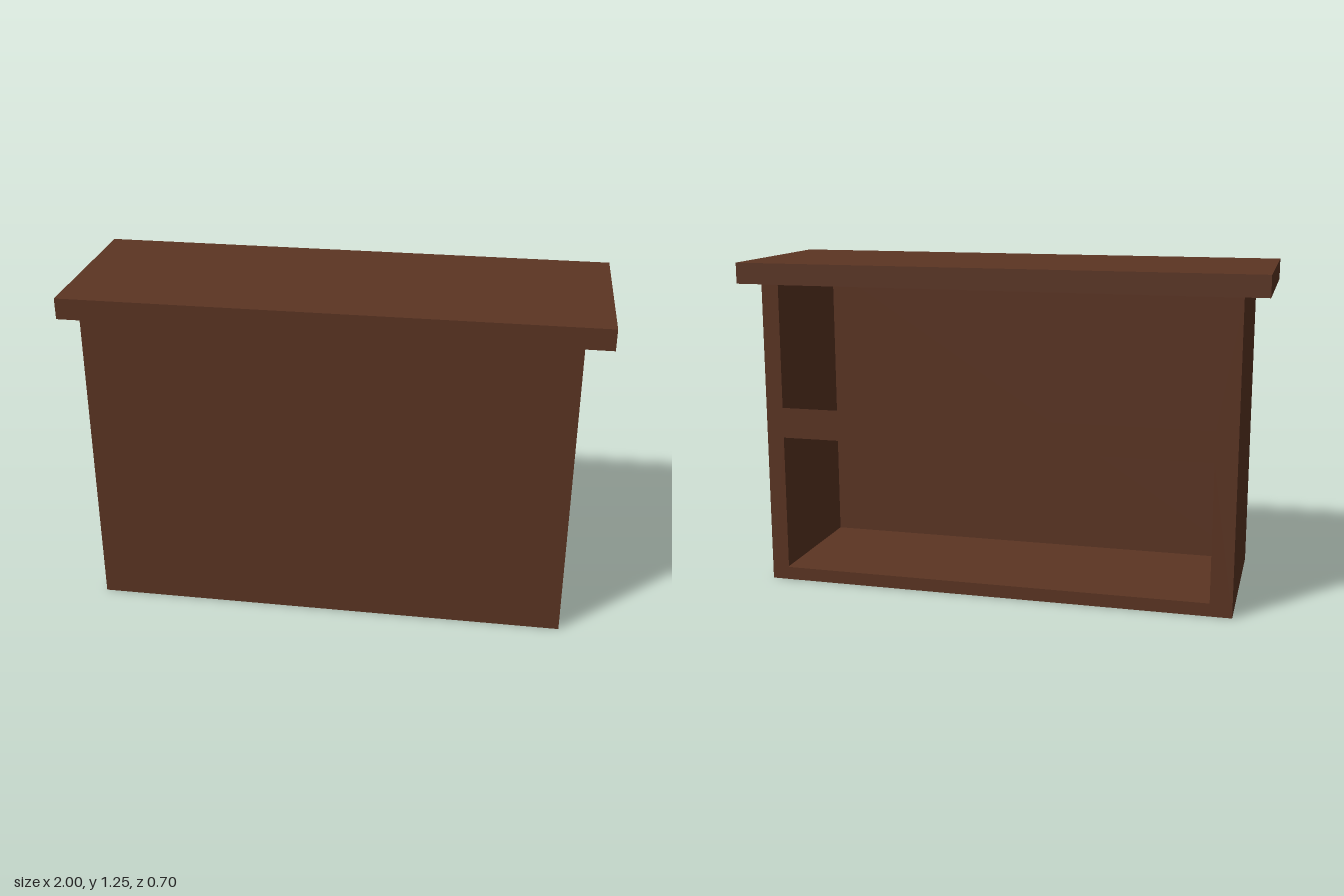
import * as THREE from 'three';

export function createModel() {
  const group = new THREE.Group();
  const wood = new THREE.MeshStandardMaterial({ color: 0x5c3523, side: THREE.DoubleSide });
  wood.name = 'darkWood';

  const right = -0.911, left = 0.897;        // sides of the body
  const inRight = -0.828, inLeft = 0.83;     // sides of the openings
  const top = 1.17, floor = 0.05;
  const railLow = 0.577, railHigh = 0.695;   // rail between the openings
  const back = -0.35, front = 0.35;
  const width = left - right, depth = front - back, middle = (left + right) / 2;

  const add = (name, geometry, x, y, z) => {
    const mesh = new THREE.Mesh(geometry, wood);
    mesh.name = name;
    mesh.position.set(x, y, z);
    group.add(mesh);
  };

  // Overhanging counter slab
  add('counterTop', new THREE.BoxGeometry(2, 1.25 - top, depth), 0, (top + 1.25) / 2, 0);

  // Hollow body of thin sheets, closed above by the slab
  add('frontPanel', new THREE.PlaneGeometry(width, top), middle, top / 2, front);
  add('leftSide', new THREE.PlaneGeometry(depth, top).rotateY(Math.PI / 2), left, top / 2, 0);
  add('rightSide', new THREE.PlaneGeometry(depth, top).rotateY(-Math.PI / 2), right, top / 2, 0);
  add('floor', new THREE.PlaneGeometry(width, depth).rotateX(Math.PI / 2), middle, 0, 0);

  // Back frame with two openings, drawn mirrored in x and turned to face the back
  const rect = (Type, x0, x1, y0, y1) => new Type(
    [[x0, y0], [x1, y0], [x1, y1], [x0, y1]].map(([x, y]) => new THREE.Vector2(-x, y)));
  const frame = rect(THREE.Shape, right, left, 0, top);
  frame.holes.push(
    rect(THREE.Path, inRight, inLeft, floor, railLow),
    rect(THREE.Path, inRight, inLeft, railHigh, top - 0.001));
  add('backFrame', new THREE.ShapeGeometry(frame).rotateY(Math.PI), 0, 0, back);

  return group;
}
